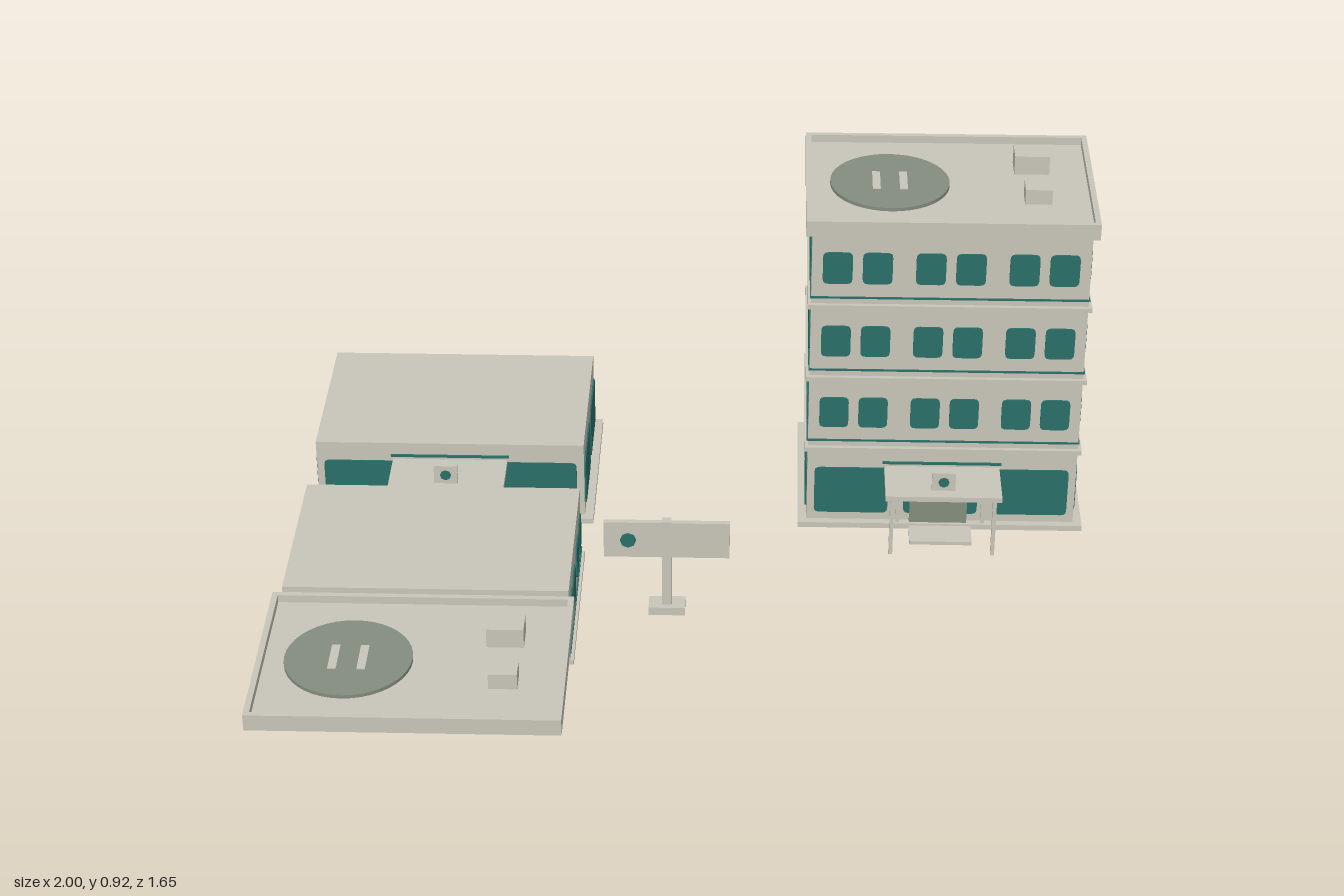
import * as THREE from 'three';

const mat = (name, color) => {
  const m = new THREE.MeshStandardMaterial({ color });
  m.name = name;
  return m;
};

export function createModel() {
  const stone = mat('warm stone', 0xc8c5b9);
  const teal = mat('teal glass', 0x2b6f69);
  const sage = mat('sage grey', 0x848d7f);

  const W = 0.69, D = 0.46; // wall footprint shared by every storey

  const add = (parent, name, geo, material, x = 0, y = 0, z = 0) => {
    const m = new THREE.Mesh(geo, material);
    m.name = name;
    m.position.set(x, y, z);
    parent.add(m);
    return m;
  };
  // Box placed by its bottom centre
  const box = (parent, name, w, h, d, x, y, z, material = stone) =>
    add(parent, name, new THREE.BoxGeometry(w, h, d), material, x, y + h / 2, z);

  const roundedRect = (w, h, r) => {
    const s = new THREE.Shape(), a = w / 2, b = h / 2;
    s.moveTo(-a + r, -b);
    s.lineTo(a - r, -b).quadraticCurveTo(a, -b, a, -b + r);
    s.lineTo(a, b - r).quadraticCurveTo(a, b, a - r, b);
    s.lineTo(-a + r, b).quadraticCurveTo(-a, b, -a, b - r);
    s.lineTo(-a, -b + r).quadraticCurveTo(-a, -b, -a + r, -b);
    return s;
  };
  const plate = (w, h, r) => new THREE.ExtrudeGeometry(roundedRect(w, h, r),
    { depth: 0.004, bevelEnabled: false, curveSegments: 3 });
  const smallPane = plate(0.074, 0.087, 0.014);
  const largePane = plate(0.19, 0.135, 0.014);

  // Calls back for each window bay on all four walls
  const bays = (parent, fn) => {
    for (let i = 0; i < 4; i++) {
      const side = new THREE.Group();
      side.name = ['frontWall', 'leftWall', 'backWall', 'rightWall'][i];
      side.rotation.y = i * Math.PI / 2;
      parent.add(side);
      const columns = i % 2 ? [-0.115, 0.115] : [-0.231, 0, 0.231];
      columns.forEach(x => fn(side, x, (i % 2 ? W : D) / 2));
    }
  };

  const module = (name, x, y, z, parent) => {
    const g = new THREE.Group();
    g.name = name;
    g.position.set(x, y, z);
    parent.add(g);
    return g;
  };

  const emblem = (parent, x, y, z, r) => {
    const e = add(parent, 'emblemDisc', new THREE.CylinderGeometry(r, r, 0.005, 8), teal, x, y, z);
    e.rotation.x = Math.PI / 2;
  };

  // Ground storey with entrance porch
  const groundFloor = (parent, x, y, z) => {
    const g = module('groundFloor', x, y, z, parent);
    box(g, 'plinth', 0.735, 0.015, 0.5, 0, 0, 0);
    box(g, 'walls', W, 0.21, D, 0, 0.015, 0);
    bays(g, (side, bx, bz) => add(side, 'shopWindow', largePane, teal, bx, 0.105, bz));
    box(g, 'door', 0.148, 0.138, 0.012, -0.005, 0.012, D / 2 + 0.006, sage);
    box(g, 'doorStep', 0.16, 0.01, 0.09, 0, 0, 0.28);
    box(g, 'canopy', 0.295, 0.014, 0.147, 0, 0.164, 0.3035);
    box(g, 'canopyStripe', 0.305, 0.006, 0.006, 0, 0.186, D / 2 + 0.002, teal);
    for (const s of [-1, 1]) {
      box(g, 'canopyPost', 0.01, 0.164, 0.01, s * 0.13, 0, 0.366);
      box(g, 'wallPost', 0.01, 0.15, 0.01, s * 0.11, 0.014, 0.238);
    }
    box(g, 'entranceSign', 0.06, 0.052, 0.01, 0, 0.177, 0.34);
    emblem(g, 0, 0.203, 0.3455, 0.014);
  };

  // Repeating upper storey
  const upperFloor = (parent, x, y, z) => {
    const g = module('upperFloor', x, y, z, parent);
    box(g, 'ledge', 0.708, 0.012, 0.482, 0, 0, 0);
    box(g, 'walls', W, 0.196, D, 0, 0.012, 0);
    box(g, 'stripe', W + 0.006, 0.005, D + 0.006, 0, 0.027, 0, teal);
    bays(g, (side, bx, bz) => {
      for (const s of [-1, 1]) add(side, 'window', smallPane, teal, bx + s * 0.0495, 0.113, bz);
    });
  };

  // Roof tray with parapet, landing pad and vents
  const roof = (parent, x, y, z) => {
    const g = module('roof', x, y, z, parent);
    const w = 0.722, d = 0.495, t = 0.014;
    box(g, 'roofDeck', w - 2 * t, 0.022, d - 2 * t, 0, 0, 0);
    for (const s of [-1, 1]) {
      box(g, 'parapet', w, 0.042, t, 0, 0, s * (d - t) / 2);
      box(g, 'parapet', t, 0.042, d - 2 * t, s * (w - t) / 2, 0, 0);
      box(g, 'padMark', 0.02, 0.003, 0.095, -0.15 + s * 0.034, 0.03, 0);
    }
    add(g, 'landingPad', new THREE.CylinderGeometry(0.15, 0.15, 0.009, 40), sage, -0.15, 0.0265, 0);
    box(g, 'largeVent', 0.088, 0.05, 0.067, 0.21, 0.022, -0.095);
    box(g, 'smallVent', 0.067, 0.04, 0.057, 0.217, 0.022, 0.075);
  };

  const model = new THREE.Group();
  model.name = 'modularOfficeBlock';

  // Assembled tower
  const tower = module('tower', 0.6325, 0, -0.577, model);
  groundFloor(tower, 0, 0, 0);
  for (let i = 0; i < 3; i++) upperFloor(tower, 0, 0.225 + i * 0.208, 0);
  roof(tower, 0, 0.849, 0);

  // Separate modules laid out beside it
  groundFloor(model, -0.6325, 0, -0.577);
  upperFloor(model, -0.6325, 0, 0.06);
  roof(model, -0.6325, 0.178, 0.577);

  // Roadside sign
  const sign = module('roadSign', -0.06, 0, 0.058, model);
  box(sign, 'signFoot', 0.09, 0.022, 0.052, 0, 0, 0);
  box(sign, 'signPole', 0.024, 0.243, 0.022, 0, 0.022, 0);
  box(sign, 'signBoard', 0.31, 0.1, 0.014, 0, 0.16, 0);
  for (const s of [-1, 1]) emblem(sign, -s * 0.095, 0.21, s * 0.009, 0.02);

  return model;
}
